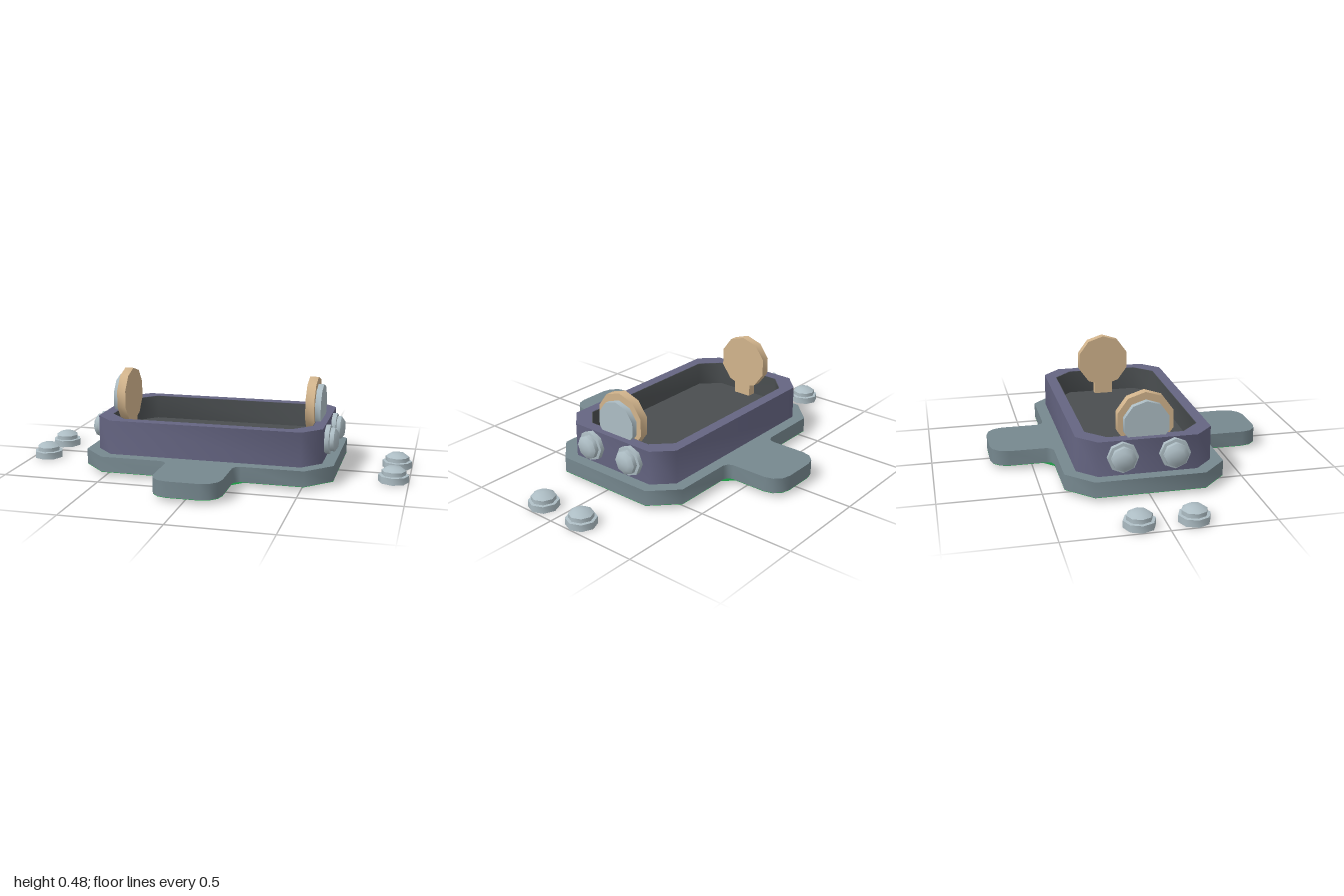
import * as THREE from 'three';
import { toCreasedNormals } from 'three/addons/utils/BufferGeometryUtils.js';

const mat = (name, color, side = THREE.FrontSide) =>
  new THREE.MeshStandardMaterial({ name, color, side });

// Points of a rectangle (half sizes w, d) with cut corners of size c
const octagon = (w, d, c) => [
  [w, -d + c], [w, d - c], [w - c, d], [-w + c, d],
  [-w, d - c], [-w, -d + c], [-w + c, -d], [w - c, -d],
].map(([x, z]) => new THREE.Vector2(x, z));

// Plate outline: cut-corner rectangle with a rounded tab at front and back;
// the inner corners of the tabs are bridged by a fillet of size f
function plateOutline(f, curved) {
  const quarter = [[0.642, 0.27], [0.517, 0.395], [0.17 + f, 0.395]];
  if (curved) quarter.push([0.17 + f * 0.3, 0.395 + f * 0.3]);
  quarter.push([0.17, 0.395 + f]);
  for (let i = 0; i <= 3; i++) {
    const a = (i / 3) * Math.PI / 2;
    quarter.push([0.08 + 0.09 * Math.cos(a), 0.618 + 0.09 * Math.sin(a)]);
  }
  const front = [...quarter, ...[...quarter].reverse().map(([x, z]) => [-x, z])];
  const back = front.map(([x, z]) => [-x, -z]);
  return [...front, ...back].map(([x, z]) => new THREE.Vector2(x, z));
}

// Extrude a ground outline upwards from y0 to y1
function slab(outline, y0, y1, hole) {
  const shape = new THREE.Shape(outline);
  if (hole) shape.holes.push(new THREE.Path(hole));
  const g = new THREE.ExtrudeGeometry(shape, { depth: y1 - y0, bevelEnabled: false });
  return g.rotateX(-Math.PI / 2).translate(0, y0, 0);
}

export function createModel() {
  const model = new THREE.Group();
  model.name = 'baseWithHousing';
  const plateGrey = mat('plateGrey', 0x76888f);
  const green = mat('undersideGreen', 0x1a9440, THREE.DoubleSide);
  const purple = mat('wallPurple', 0x656582);
  const dark = mat('interiorDark', 0x4a4e50);
  const tan = mat('discTan', 0xd2b48c);
  const steel = mat('boltSteel', 0xadbdc4, THREE.DoubleSide);

  // Gentle corners are shaded smooth, right angles stay sharp
  const add = (name, geometry, material, parent = model) => {
    const mesh = new THREE.Mesh(toCreasedNormals(geometry, 0.9), material);
    mesh.name = name;
    parent.add(mesh);
    return mesh;
  };

  // Base plate and its green underside
  add('basePlate', slab(plateOutline(0.035, true), 0.022, 0.1), plateGrey);
  const under = new THREE.ShapeGeometry(new THREE.Shape(plateOutline(0.052, false)));
  add('underside', under.rotateX(Math.PI / 2).translate(0, 0.02, 0), green);

  // Housing wall, dark lining and floor
  const inner = octagon(0.525, 0.28, 0.092);
  add('housingWall', slab(octagon(0.582, 0.335, 0.092), 0.1, 0.275, inner), purple);
  add('innerLining', slab(inner, 0.15, 0.274, octagon(0.522, 0.277, 0.091)), dark);
  add('floor', slab(inner, 0.11, 0.15), dark);

  // Round end plates, each with a smaller disc on its outer face and a foot
  for (const s of [1, -1]) {
    const side = new THREE.Group();
    side.name = s > 0 ? 'leftEndDisc' : 'rightEndDisc';
    const disc = (r, x0, x1, y) =>
      new THREE.CylinderGeometry(r, r, x1 - x0, 10)
        .rotateY(Math.PI / 2)
        .rotateZ(Math.PI / 2)
        .translate(s * (x0 + x1) / 2, y, 0);
    add('disc', disc(0.144, 0.475, 0.52, 0.341), tan, side);
    add('outerDisc', disc(0.115, 0.52, 0.549, 0.333), steel, side);
    add('foot', new THREE.BoxGeometry(0.045, 0.1, 0.1).translate(s * 0.4975, 0.195, 0), tan, side);
    model.add(side);
  }

  // Eight-sided bolt with flange and domed head, open underneath
  const profile = [
    [0.052, 0], [0.076, 0], [0.076, 0.035], [0.061, 0.037],
    [0.061, 0.058], [0.038, 0.074], [0, 0.076],
  ].map(([r, y]) => new THREE.Vector2(r, y));
  const boltShape = new THREE.LatheGeometry(profile, 8);

  for (const s of [1, -1]) {
    for (const z of [-0.127, 0.127]) {
      // Loose bolt on the ground
      add('looseBolt', boltShape, steel).position.set(s * 0.924, 0, z);
      // Bolt in the end wall
      const bolt = add('wallBolt', boltShape, steel);
      bolt.position.set(s * 0.57, 0.195, z);
      bolt.rotation.z = -s * Math.PI / 2;
    }
  }
  return model;
}
